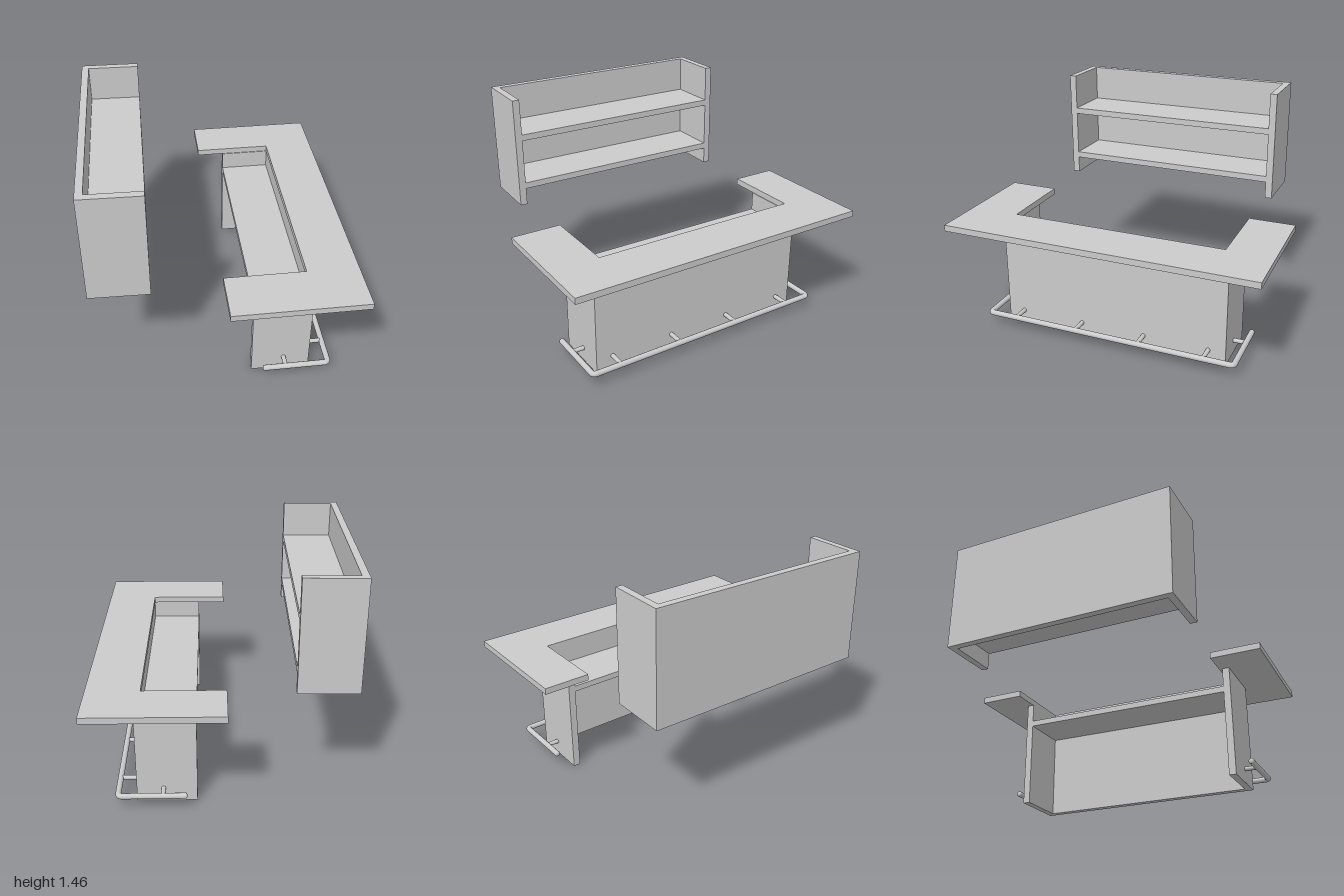
import * as THREE from 'three';

const material = new THREE.MeshStandardMaterial({ color: 0xcccccc });

function add(parent, name, geometry, x = 0, y = 0, z = 0) {
  const mesh = new THREE.Mesh(geometry, material);
  mesh.name = name;
  mesh.position.set(x, y, z);
  parent.add(mesh);
  return mesh;
}

// Box given by its minimum and maximum along each axis
function slab(parent, name, [x0, x1], [y0, y1], [z0, z1]) {
  return add(parent, name, new THREE.BoxGeometry(x1 - x0, y1 - y0, z1 - z0),
    (x0 + x1) / 2, (y0 + y1) / 2, (z0 + z1) / 2);
}

function createCounter() {
  const counter = new THREE.Group();
  counter.name = 'barCounter';

  // U-shaped top, open towards the server's side
  const outline = new THREE.Shape([
    [-0.015, -1], [0.81, -1], [0.81, 1], [-0.015, 1],
    [-0.015, 0.705], [0.487, 0.705], [0.487, -0.68], [-0.015, -0.68],
  ].map(([x, y]) => new THREE.Vector2(x, y)));
  const top = new THREE.ExtrudeGeometry(outline, { depth: 0.04, bevelEnabled: false });
  top.rotateX(-Math.PI / 2);
  add(counter, 'counterTop', top, 0, 0.71, 0);

  // Base: front panel, two ends and an inner shelf
  slab(counter, 'counterFrontPanel', [0.49, 0.535], [0, 0.71], [-0.745, 0.745]);
  for (const s of [-1, 1]) {
    const end = slab(counter, 'counterEndPanel', [0.165, 0.49], [0, 0.71], [0.7, 0.745]);
    end.position.z *= s;
  }
  slab(counter, 'counterShelf', [0.165, 0.49], [0.55, 0.588], [-0.7, 0.7]);
  return counter;
}

function createFootRail() {
  const rail = new THREE.Group();
  rail.name = 'footRail';
  const r = 0.018, y = 0.092, xIn = 0.235, xOut = 0.642, zEnd = 0.825, bend = 0.025;
  const p = (x, z) => new THREE.Vector3(x, y, z);

  // Straight runs joined by small rounded corners
  const path = new THREE.CurvePath();
  path.add(new THREE.LineCurve3(p(xIn, zEnd), p(xOut - bend, zEnd)));
  path.add(new THREE.QuadraticBezierCurve3(p(xOut - bend, zEnd), p(xOut, zEnd), p(xOut, zEnd - bend)));
  path.add(new THREE.LineCurve3(p(xOut, zEnd - bend), p(xOut, bend - zEnd)));
  path.add(new THREE.QuadraticBezierCurve3(p(xOut, bend - zEnd), p(xOut, -zEnd), p(xOut - bend, -zEnd)));
  path.add(new THREE.LineCurve3(p(xOut - bend, -zEnd), p(xIn, -zEnd)));
  add(rail, 'railTube', new THREE.TubeGeometry(path, 300, r, 16, false));

  // Rounded tips and end brackets
  for (const s of [-1, 1]) {
    const tip = add(rail, 'railTip', new THREE.SphereGeometry(r, 16, 12), xIn, y, s * zEnd);
    tip.scale.x = 0.6;
    const bracket = add(rail, 'endBracket',
      new THREE.CylinderGeometry(0.014, 0.014, 0.09, 14), 0.37, y, s * 0.785);
    bracket.rotation.x = Math.PI / 2;
  }
  // Front brackets
  for (const z of [-0.635, -0.212, 0.212, 0.635]) {
    const bracket = add(rail, 'frontBracket',
      new THREE.CylinderGeometry(0.014, 0.014, 0.115, 14), 0.585, y, z);
    bracket.rotation.z = Math.PI / 2;
  }
  return rail;
}

function createWallShelf() {
  const unit = new THREE.Group();
  unit.name = 'wallShelf';
  const w = 0.185, h = 0.355, l = 0.75, t = 0.045;

  // Back and sides, open at top, bottom and front
  slab(unit, 'shelfBack', [-w, -w + t], [-h, h], [-l, l]);
  for (const s of [-1, 1]) {
    const side = slab(unit, 'shelfSide', [-w + t, w], [-h, h], [l - t, l]);
    side.position.z *= s;
  }
  // Two shelf boards
  for (const y of [-0.225, 0.104]) {
    slab(unit, 'shelfBoard', [-w + t, w], [y - 0.02, y + 0.02], [-l + t, l - t]);
  }
  // Hangs very slightly askew
  unit.position.set(-0.615, 1.095, 0);
  unit.rotation.set(0.007, -0.02, 0);
  return unit;
}

export function createModel() {
  const model = new THREE.Group();
  model.name = 'barSet';
  model.add(createCounter(), createFootRail(), createWallShelf());
  return model;
}
